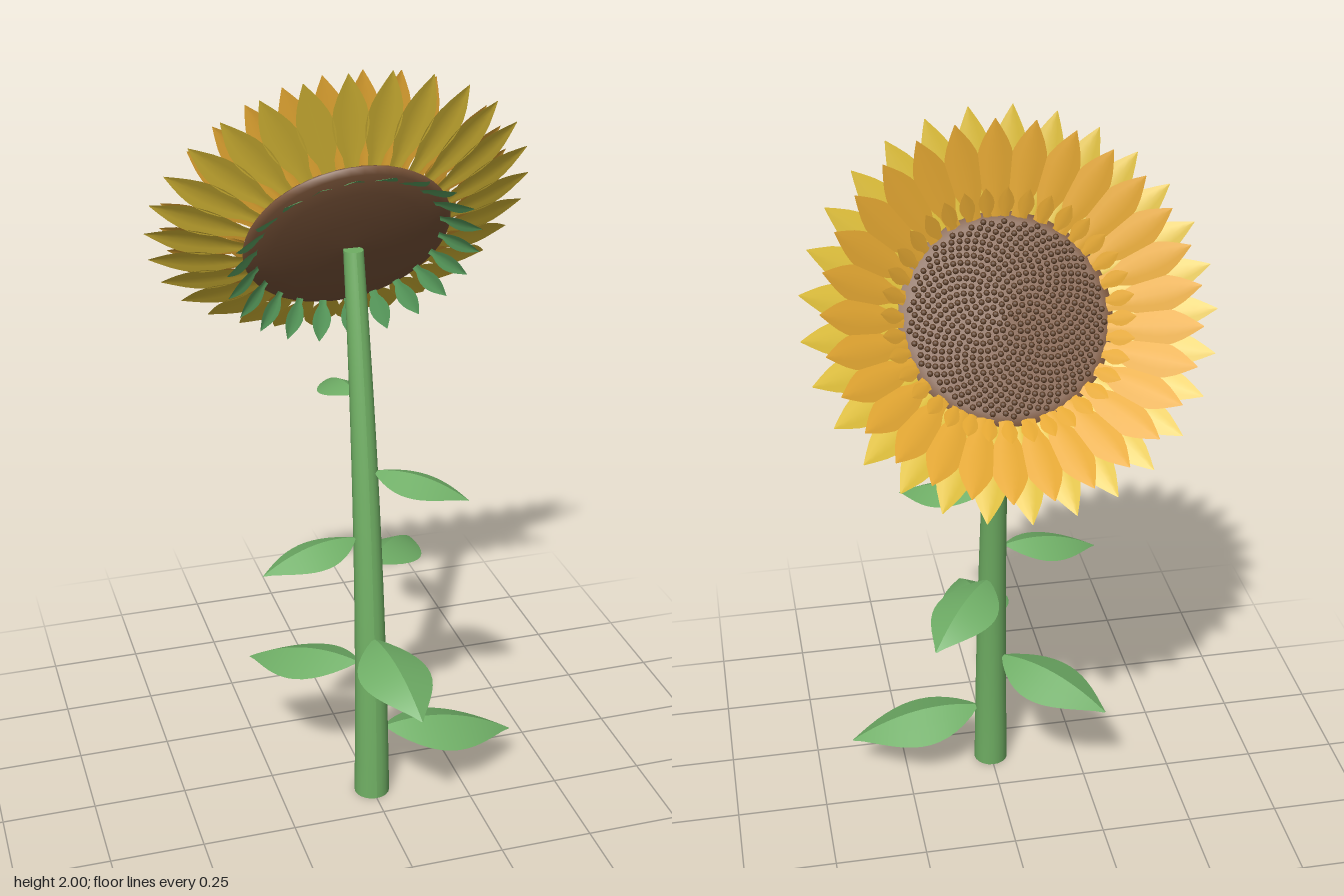
import * as THREE from 'three';
import { mergeGeometries, toCreasedNormals } from 'three/addons/utils/BufferGeometryUtils.js';

const mat = (name, color, side = THREE.FrontSide) => {
  const m = new THREE.MeshStandardMaterial({ color, side });
  m.name = name;
  return m;
};

// Pointed blade along +z with its upper face to +y; peak shifts the widest place
function blade({ length, half, peak = 1, fold = 0, rise = 0, droop = 0, base = 0, rows = 10 }) {
  const pos = [], index = [], cols = 4;
  for (let i = 0; i <= rows; i++) {
    const u = i / rows;
    const w = half * Math.max(Math.sin(Math.PI * Math.min(1, u ** peak)), base * (1 - u) ** 0.5, 0.02);
    for (let j = 0; j <= cols; j++) {
      const v = (j / cols) * 2 - 1;
      pos.push(w * v, length * (rise * u - droop * u * u) - fold * w * Math.abs(v), length * u);
      if (i < rows && j < cols) {
        const a = i * (cols + 1) + j, b = a + cols + 1;
        index.push(a, b, b + 1, a, b + 1, a + 1);
      }
    }
  }
  const g = new THREE.BufferGeometry();
  g.setAttribute('position', new THREE.Float32BufferAttribute(pos, 3));
  g.setIndex(index);
  g.computeVertexNormals();
  return g;
}

// Copies of one blade around the y axis, each tilted up from the disc
function ring(name, material, count, radius, height, tilt, offset, shape) {
  const one = blade(shape).rotateX(-tilt).translate(0, height, radius);
  const parts = [];
  for (let i = 0; i < count; i++) parts.push(one.clone().rotateY(((i + offset) / count) * Math.PI * 2));
  const mesh = new THREE.Mesh(mergeGeometries(parts), material);
  mesh.name = name;
  return mesh;
}

const stemZ = (y) => 0.138 - 0.026 * y - 0.068 * y * y;
const stemRadius = (y) => 0.048 - 0.0145 * y;

export function createModel() {
  const model = new THREE.Group();
  model.name = 'sunflower';
  const stemGreen = mat('stem green', 0x6fae63);
  const leafGreen = mat('leaf green', 0x6fae66, THREE.DoubleSide);
  const sepalGreen = mat('sepal green', 0x5fa864, THREE.DoubleSide);
  const orange = mat('petal orange', 0xe5a832, THREE.DoubleSide);
  const yellow = mat('petal yellow', 0xe0c038, THREE.DoubleSide);
  const discBrown = mat('disc brown', 0x7a5439);
  const seedBrown = mat('seed brown', 0x5e4029);

  // Stem: tapered cylinder leaning back along a gentle curve
  const stemTop = 1.51;
  const stemGeo = new THREE.CylinderGeometry(1, 1, stemTop, 20, 16).translate(0, stemTop / 2, 0);
  const p = stemGeo.attributes.position;
  for (let i = 0; i < p.count; i++) {
    const y = p.getY(i), r = stemRadius(y);
    p.setXYZ(i, p.getX(i) * r + 0.004 * y, y, p.getZ(i) * r + stemZ(y));
  }
  stemGeo.computeVertexNormals();
  const stem = new THREE.Mesh(stemGeo, stemGreen);
  stem.name = 'stem';
  model.add(stem);

  // Leaves spiralling up the stem: [attachment height, tip x, tip z]
  const leaves = [
    [0.195, 0.405, 0.13], [0.39, -0.275, -0.13], [0.485, 0.035, 0.46], [0.67, 0.2, -0.165],
    [0.765, -0.29, 0.12], [0.945, 0.24, 0.2], [1.135, -0.025, -0.22],
  ];
  leaves.forEach(([y, tx, tz], i) => {
    const dx = tx, dz = tz - stemZ(y);
    const start = stemRadius(y) * 0.8;
    const length = Math.hypot(dx, dz) - start;
    const geo = blade({ length, half: length * 0.3, peak: 0.85, fold: 0.42, rise: 0.22, droop: 0.43, rows: 14 });
    const leaf = new THREE.Mesh(toCreasedNormals(geo.translate(0, 0, start), 0.6), leafGreen);
    leaf.name = `leaf${i + 1}`;
    leaf.position.set(0, y, stemZ(y));
    leaf.rotation.y = Math.atan2(dx, dz);
    model.add(leaf);
  });

  // Flower head, built facing +y and then tipped
  const head = new THREE.Group();
  head.name = 'flowerHead';
  head.position.set(0.003, 1.53, -0.1);
  head.rotation.x = -0.988;
  model.add(head);

  const profile = [[0, -0.035], [0.1, -0.033], [0.2, -0.024], [0.255, -0.012], [0.272, 0], [0.262, 0.012], [0.235, 0.018], [0, 0.026]];
  const disc = new THREE.Mesh(
    new THREE.LatheGeometry(profile.map(([r, y]) => new THREE.Vector2(r, y)), 48), discBrown);
  disc.name = 'disc';
  head.add(disc);

  // Seeds packed in a golden-angle spiral
  const seedGeo = new THREE.SphereGeometry(0.0078, 8, 6);
  const seeds = [], total = 560;
  for (let i = 0; i < total; i++) {
    const r = 0.24 * Math.sqrt((i + 0.5) / total), a = i * Math.PI * (3 - Math.sqrt(5));
    seeds.push(seedGeo.clone().translate(r * Math.cos(a), 0.028 - 0.03 * r, r * Math.sin(a)));
  }
  const seedMesh = new THREE.Mesh(mergeGeometries(seeds), seedBrown);
  seedMesh.name = 'seeds';
  head.add(seedMesh);

  // Petal rings and the green sepals behind them
  head.add(
    ring('outerPetals', yellow, 29, 0.24, 0.003, 0.32, 0.5,
      { length: 0.28, half: 0.046, peak: 1.15, fold: 0.15, base: 0.4 }),
    ring('middlePetals', orange, 29, 0.24, 0.01, 0.54, 0,
      { length: 0.255, half: 0.046, peak: 1.15, fold: 0.15, base: 0.4 }),
    ring('innerPetals', orange, 36, 0.245, 0.012, 0.7, 0.5,
      { length: 0.085, half: 0.02, fold: 0.15, base: 0.5, rows: 6 }),
    ring('sepals', sepalGreen, 22, 0.24, -0.018, -0.65, 0.5,
      { length: 0.115, half: 0.026, peak: 0.95, fold: 0.2, base: 0.4, rows: 8 }),
  );
  return model;
}
